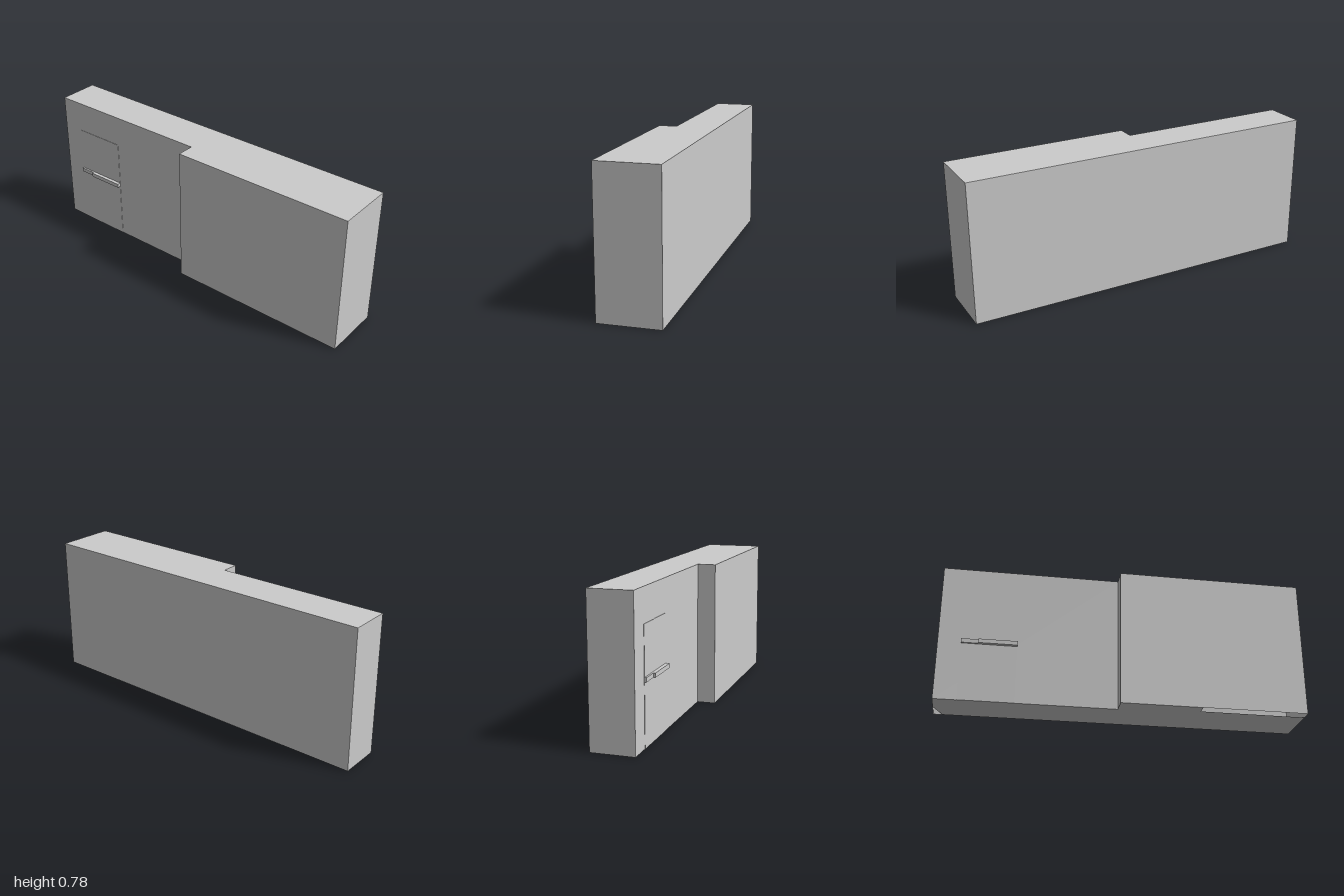
import * as THREE from 'three';

const HEIGHT = 0.778;
const FRONT = 0.066; // front plane of the set-back wing

export function createModel() {
  const model = new THREE.Group();
  const material = new THREE.MeshStandardMaterial({ color: 0xcccccc, side: THREE.DoubleSide });

  const add = (name, geometry, x, y, z, parent = model) => {
    const mesh = new THREE.Mesh(geometry, material);
    mesh.name = name;
    mesh.position.set(x, y, z);
    parent.add(mesh);
    return mesh;
  };

  // Stepped footprint as [x, z], counter-clockwise seen from above
  const step = [[-1, FRONT], [-0.026, FRONT], [-0.026, 0.165]];
  const plan = [...step, [1, 0.165], [1, -0.165], [-1, -0.165]];

  // Outer walls, one thin panel per side of the footprint
  const walls = new THREE.Group();
  walls.name = 'walls';
  model.add(walls);
  plan.forEach(([x0, z0], i) => {
    const [x1, z1] = plan[(i + 1) % plan.length];
    const panel = new THREE.PlaneGeometry(Math.hypot(x1 - x0, z1 - z0), HEIGHT);
    const wall = add('wall', panel, (x0 + x1) / 2, HEIGHT / 2, (z0 + z1) / 2, walls);
    wall.rotation.y = Math.atan2(z0 - z1, x1 - x0);
  });

  // Flat roof over the whole footprint
  const sheet = (points, sign) => new THREE.ShapeGeometry(
    new THREE.Shape(points.map(([x, z]) => new THREE.Vector2(x, sign * z)))
  ).rotateX(sign * Math.PI / 2);
  add('roof', sheet(plan, -1), 0, HEIGHT, 0);

  // Floor facing down, with a slot along the front and one clipped back corner
  const floorPlan = [...step, [0.42, 0.165], [0.42, 0.107], [1, 0.107],
    [1, -0.165], [-0.95, -0.165], [-1, -0.055]];
  add('floor', sheet(floorPlan, 1), 0, 0, 0);

  // Almost flush door with a two-part push bar
  const box = (name, x0, x1, y0, y1, depth) => add(
    name, new THREE.BoxGeometry(x1 - x0, y1 - y0, depth),
    (x0 + x1) / 2, (y0 + y1) / 2, FRONT + depth / 2);
  box('door', -0.877, -0.575, 0, 0.603, 0.002);
  box('pushBarMount', -0.877, -0.785, 0.327, 0.35, 0.012);
  box('pushBar', -0.785, -0.575, 0.327, 0.35, 0.022);

  return model;
}
